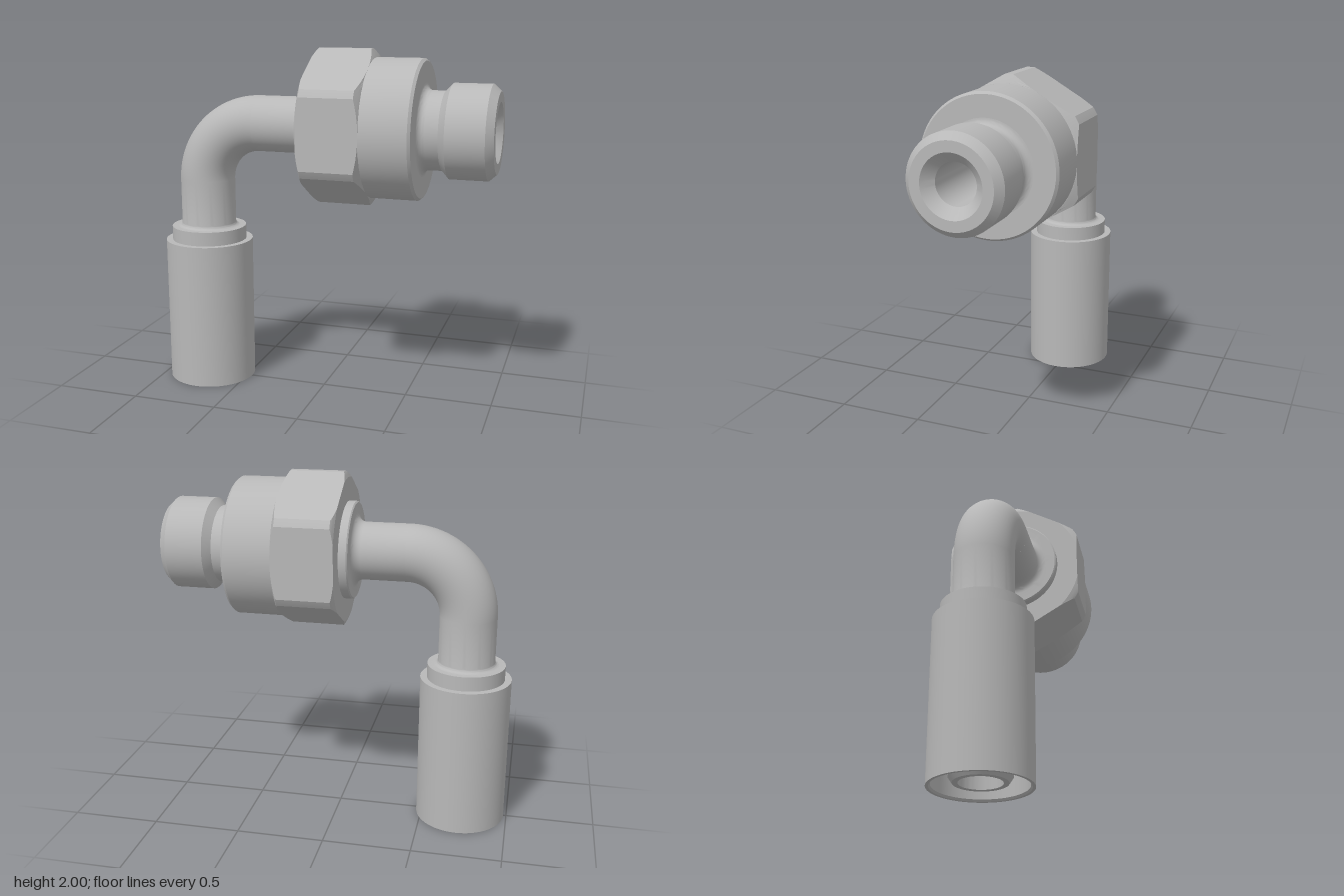
import * as THREE from 'three';
import { toCreasedNormals } from 'three/addons/utils/BufferGeometryUtils.js';

const AXIS_Y = 1.565;   // height of the horizontal axis
const AXIS_X = -0.725;  // position of the vertical axis
const TUBE_R = 0.16;
const BEND_R = 0.34;

const metal = new THREE.MeshStandardMaterial({ color: 0xb8b8b8 });
metal.name = 'steel';

// Quarter-circle fillet points [radius, axial] between two angles
function fillet(cr, ca, r, from, to, n = 8) {
  return Array.from({ length: n + 1 }, (_, i) => {
    const t = from + (to - from) * i / n;
    return [cr + r * Math.cos(t), ca + r * Math.sin(t)];
  });
}

// Turned part from [radius, axial] points, with sharp edges kept
function turned(name, points) {
  const geo = new THREE.LatheGeometry(points.map(p => new THREE.Vector2(p[0], p[1])), 72);
  const mesh = new THREE.Mesh(toCreasedNormals(geo, 0.5), metal);
  mesh.name = name;
  return mesh;
}

function vertical(name, points) {
  const mesh = turned(name, points);
  mesh.position.x = AXIS_X;
  return mesh;
}

function horizontal(name, points) {
  const mesh = turned(name, points);
  mesh.rotation.z = -Math.PI / 2;
  mesh.position.y = AXIS_Y;
  return mesh;
}

// Hexagon prism whose corners are turned down to a radius that varies along x
function hexNut() {
  const apothem = 0.388, flatSteps = 16, cornerSteps = 4;
  const stations = [ // x, limiting radius, scale
    [-0.04, 0.402, 0], [-0.04, 0.402, 1], [-0.034, 0.415, 1], [-0.028, 0.427, 1], [-0.022, 0.435, 1],
    [0.277, 0.435, 1], [0.285, 0.421, 1], [0.293, 0.406, 1], [0.299, 0.395, 1], [0.302, 0.389, 1], [0.302, 0.389, 0],
  ];
  const pos = [], index = [];
  const count = 6 * (flatSteps + cornerSteps);
  for (const [x, limit, scale] of stations) {
    const half = Math.acos(apothem / limit);
    const add = (angle, r) => pos.push(x, scale * r * Math.cos(angle), scale * r * Math.sin(angle));
    for (let side = 0; side < 6; side++) {
      const mid = Math.PI / 6 + side * Math.PI / 3;
      for (let i = 0; i < flatSteps; i++) {
        const t = -half + 2 * half * i / flatSteps;
        add(mid + t, apothem / Math.cos(t));
      }
      for (let i = 0; i < cornerSteps; i++) {
        add(mid + half + (Math.PI / 3 - 2 * half) * i / cornerSteps, limit);
      }
    }
  }
  for (let i = 0; i < stations.length - 1; i++) {
    for (let j = 0; j < count; j++) {
      const k = (j + 1) % count;
      const a = i * count + j, b = i * count + k, c = a + count, d = b + count;
      index.push(a, b, c, b, d, c);
    }
  }
  const geo = new THREE.BufferGeometry();
  geo.setAttribute('position', new THREE.Float32BufferAttribute(pos, 3));
  geo.setIndex(index);
  const mesh = new THREE.Mesh(toCreasedNormals(geo, 0.2), metal);
  mesh.name = 'hexNut';
  mesh.position.y = AXIS_Y;
  return mesh;
}

export function createModel() {
  const group = new THREE.Group();
  group.name = 'elbowHoseFitting';

  // Crimp sleeve, open at the bottom with a thin wall
  group.add(vertical('crimpSleeve', [
    [0.15, 0.8], [0.235, 0.8], [0.235, 0.01], [0.243, 0], [0.258, 0], [0.258, 0.86], [0.2, 0.86],
  ]));

  // Hollow nipple inside the sleeve
  group.add(vertical('hoseNipple', [
    [0, 0.8], [0.108, 0.8], [0.108, 0.02], [0.135, 0.02], [0.155, 0.05], [0.155, 0.8],
  ]));

  // Collar running into the upright tube
  group.add(vertical('collarAndUprightTube', [
    [0.22, 0.85], [0.22, 0.942],
    ...fillet(TUBE_R + 0.025, 0.967, 0.025, -Math.PI / 2, -Math.PI),
    [TUBE_R, AXIS_Y - BEND_R],
  ]));

  // Quarter bend
  const bend = new THREE.Mesh(new THREE.TorusGeometry(BEND_R, TUBE_R, 64, 40, Math.PI / 2), metal);
  bend.name = 'tubeBend';
  bend.rotation.z = Math.PI / 2;
  bend.position.set(AXIS_X + BEND_R, AXIS_Y - BEND_R, 0);
  group.add(bend);

  // Horizontal tube flaring into a flange
  group.add(horizontal('levelTubeAndFlange', [
    [TUBE_R, AXIS_X + BEND_R],
    ...fillet(TUBE_R + 0.05, -0.14, 0.05, Math.PI, Math.PI / 2),
    [0.264, -0.09], [0.271, -0.083], [0.271, -0.035],
  ]));

  group.add(hexNut());

  // Round body next to the hexagon
  group.add(horizontal('nutBody', [
    [0.388, 0.295], [0.388, 0.562], [0.375, 0.577], [0.2, 0.577],
  ]));

  // Stud end with undercut neck, chamfers, countersink and bore
  group.add(horizontal('studEnd', [
    [0.257, 0.577],
    ...fillet(0.257, 0.617, 0.04, -Math.PI / 2, -Math.PI),
    [0.217, 0.688], [0.26, 0.728], [0.26, 0.94], [0.222, 0.981],
    [0.165, 0.981], [0.11, 0.925], [0.11, 0.35], [0, 0.29],
  ]));

  return group;
}
